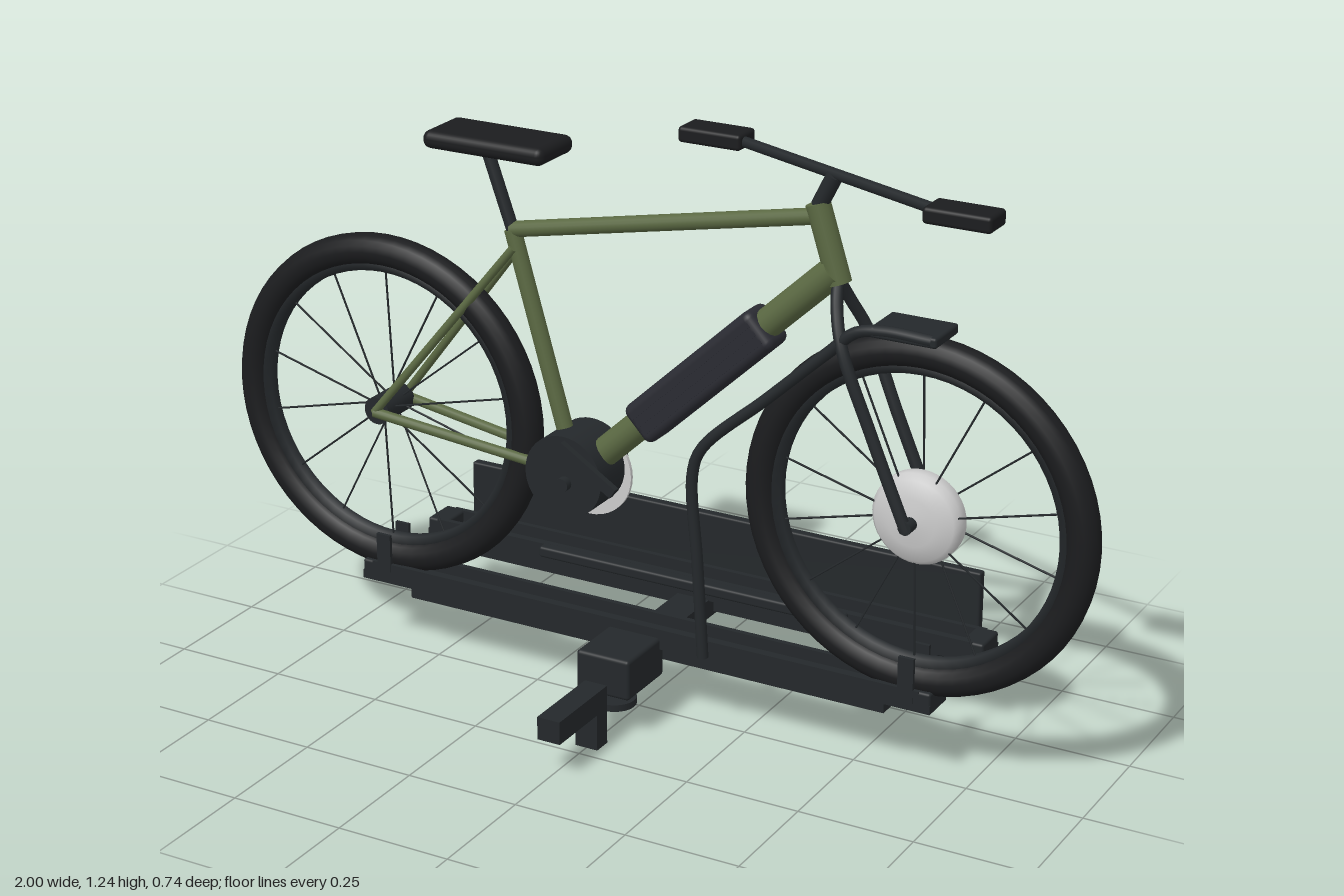
import * as THREE from 'three';
import { RoundedBoxGeometry } from 'three/addons/geometries/RoundedBoxGeometry.js';

const mat = (color) => new THREE.MeshStandardMaterial({ color });
const DARK = mat(0x24282b), BLACK = mat(0x1b1c1e), GREEN = mat(0x5a6842);
const SILVER = mat(0xcccccc), RED = mat(0x9c1a1c), PLATE = mat(0xb4b5a8), BATTERY = mat(0x2a2b32);
const ZB = -0.016; // middle plane of the bicycle
const HUB_Y = 0.558, HUB_X = 0.62;
const V = (x, y, z = ZB) => new THREE.Vector3(x, y, z);

function add(parent, name, geometry, material, x = 0, y = 0, z = 0) {
  const mesh = new THREE.Mesh(geometry, material);
  mesh.name = name;
  mesh.position.set(x, y, z);
  parent.add(mesh);
  return mesh;
}

// Box given by its limits on each axis
function box(parent, name, material, [x0, x1], [y0, y1], [z0, z1], round = 0) {
  const s = [x1 - x0, y1 - y0, z1 - z0];
  const geo = round ? new RoundedBoxGeometry(...s, 3, round) : new THREE.BoxGeometry(...s);
  return add(parent, name, geo, material, (x0 + x1) / 2, (y0 + y1) / 2, (z0 + z1) / 2);
}

// Straight round bar between two points
function bar(parent, name, material, a, b, r0, r1 = r0, sides = 16) {
  const mesh = add(parent, name, new THREE.CylinderGeometry(r1, r0, a.distanceTo(b), sides), material);
  mesh.position.copy(a).lerp(b, 0.5);
  mesh.quaternion.setFromUnitVectors(V(0, 1, 0), b.clone().sub(a).normalize());
  return mesh;
}

// Disc whose axis runs along z
function disc(parent, name, material, r, x, y, z0, z1) {
  return bar(parent, name, material, V(x, y, z0), V(x, y, z1), r, r, 40);
}

function bentTube(parent, name, material, points, r) {
  const curve = new THREE.CatmullRomCurve3(points, false, 'centripetal');
  return add(parent, name, new THREE.TubeGeometry(curve, 60, r, 12), material);
}

function wheel(name, x) {
  const g = new THREE.Group();
  g.name = name;
  g.position.set(x, HUB_Y, ZB);
  add(g, 'tyre', new THREE.TorusGeometry(0.345, 0.034, 16, 64), BLACK);
  // Rim ring turned from a closed cross-section
  const section = [[0.3, -0.012], [0.325, -0.02], [0.325, 0.02], [0.3, 0.012], [0.3, -0.012]];
  const rim = add(g, 'rim', new THREE.LatheGeometry(section.map((p) => new THREE.Vector2(...p)), 64), DARK);
  rim.material = DARK.clone();
  rim.material.side = THREE.DoubleSide;
  rim.rotation.x = Math.PI / 2;
  for (let i = 0; i < 14; i++) {
    const a = (i / 14) * Math.PI * 2 + Math.PI / 2;
    const c = Math.cos(a), s = Math.sin(a);
    bar(g, 'spoke', DARK, V(c * 0.02, s * 0.02, i % 2 ? 0.02 : -0.02), V(c * 0.305, s * 0.305, 0), 0.0022, 0.0022, 6);
  }
  return g;
}

function buildBicycle() {
  const bike = new THREE.Group();
  bike.name = 'bicycle';
  const rear = wheel('rearWheel', -HUB_X), front = wheel('frontWheel', HUB_X);
  bike.add(rear, front);
  disc(rear, 'rearHub', DARK, 0.03, 0, 0, -0.05, 0.05);
  // Domed hub motor
  const dome = [[0, -0.042], [0.05, -0.038], [0.085, -0.026], [0.096, -0.012], [0.096, 0.012], [0.085, 0.026], [0.05, 0.038], [0, 0.042]];
  const hub = add(front, 'frontHub', new THREE.LatheGeometry(dome.map((p) => new THREE.Vector2(...p)), 40), SILVER);
  hub.rotation.x = Math.PI / 2;
  disc(front, 'frontAxle', DARK, 0.014, 0, 0, -0.07, 0.07);

  // Frame
  const seatTop = V(-0.305, 1.0), headTop = V(0.385, 1.165), headLow = V(0.435, 1.01), crank = V(-0.16, 0.5);
  bar(bike, 'topTube', GREEN, seatTop, V(0.395, 1.14), 0.017);
  bar(bike, 'seatTube', GREEN, crank, seatTop, 0.018);
  bar(bike, 'downTube', GREEN, V(-0.13, 0.515), V(0.425, 1.035), 0.031);
  bar(bike, 'headTube', GREEN, headLow, headTop, 0.025);
  for (const s of [-1, 1]) {
    bar(bike, 'seatStay', GREEN, V(-HUB_X, HUB_Y, ZB + s * 0.058), V(-0.295, 0.965, ZB + s * 0.015), 0.009);
    bar(bike, 'chainStay', GREEN, V(-HUB_X, HUB_Y, ZB + s * 0.058), V(-0.19, 0.505, ZB + s * 0.03), 0.011);
    // Fork leg curves out from the crown
    bentTube(bike, 'forkLeg', DARK, [V(0.432, 1.02), V(0.445, 0.97, ZB + s * 0.03),
      V(0.472, 0.9, ZB + s * 0.06), V(0.54, 0.735, ZB + s * 0.062), V(HUB_X, 0.55, ZB + s * 0.062)], 0.0125);
  }

  // Battery on the down tube, with shallow ribs along its sides
  const battery = new THREE.Group();
  battery.name = 'battery';
  battery.position.set(0.142, 0.768, ZB);
  battery.rotation.z = Math.atan2(0.52, 0.555);
  bike.add(battery);
  box(battery, 'batteryCase', BATTERY, [-0.195, 0.195], [-0.046, 0.046], [-0.042, 0.042], 0.018);
  for (const y of [-0.02, 0, 0.02]) box(battery, 'batteryRib', BATTERY, [-0.18, 0.18], [y - 0.005, y + 0.005], [-0.045, 0.045]);

  // Drive unit, chainring and crank arms
  disc(bike, 'driveUnit', DARK, 0.09, -0.155, 0.505, -0.075, 0.045);
  disc(bike, 'chainring', SILVER, 0.1, -0.15, 0.488, -0.062, -0.054);
  disc(bike, 'crankAxle', DARK, 0.015, -0.15, 0.493, -0.095, 0.062);
  for (const s of [-1, 1]) {
    const arm = add(bike, 'crankArm', new THREE.BoxGeometry(0.15, 0.024, 0.014), DARK, -0.15 + s * 0.06, 0.493 + s * 0.047, ZB + s * 0.074);
    arm.rotation.z = -0.56;
  }

  // Saddle
  bar(bike, 'seatPost', DARK, seatTop, V(-0.366, 1.17), 0.0135);
  box(bike, 'saddle', BLACK, [-0.48, -0.195], [1.162, 1.2], [-0.083, 0.051], 0.017);

  // Handlebar turned to one side
  bar(bike, 'stem', DARK, V(0.388, 1.16), V(0.42, 1.225), 0.017);
  bar(bike, 'handlebar', DARK, V(0.12, 1.227, -0.142), V(0.72, 1.227, 0.106), 0.011);
  box(bike, 'leftGrip', BLACK, [0.67, 0.81], [1.211, 1.244], [0.064, 0.136], 0.008);
  box(bike, 'rightGrip', BLACK, [0.03, 0.17], [1.211, 1.244], [-0.17, -0.1], 0.008);
  return bike;
}

// Wheel tray: floor, two low walls and a beam beneath
function wheelTray(name, z) {
  const g = new THREE.Group();
  g.name = name;
  g.position.z = z;
  box(g, 'trayFloor', DARK, [-0.675, 0.675], [0.155, 0.174], [-0.04, 0.04]);
  for (const s of [-1, 1]) {
    box(g, 'trayWall', DARK, [-0.65, 0.65], [0.172, 0.2], [s * 0.034 - 0.006, s * 0.034 + 0.006]);
    box(g, 'trayEnd', DARK, [s * 0.65 - 0.025, s * 0.65 + 0.025], [0.16, 0.2], [-0.04, 0.04], 0.006);
  }
  box(g, 'trayBeam', DARK, [-0.565, 0.565], [0.123, 0.156], [-0.019, 0.019]);
  return g;
}

function buildCarrier() {
  const carrier = new THREE.Group();
  carrier.name = 'carrier';
  box(carrier, 'spine', DARK, [-0.038, 0.038], [0.115, 0.157], [-0.345, 0.02]);
  carrier.add(wheelTray('frontTray', ZB), wheelTray('rearTray', -0.276));
  box(carrier, 'foldedArm', DARK, [-0.37, 0.37], [0.18, 0.205], [-0.236, -0.208], 0.006);

  // Straps hugging both wheels
  for (const x of [-HUB_X, HUB_X])
    for (const s of [-1, 1])
      box(carrier, 'wheelStrap', DARK, [x - 0.017, x + 0.017], [0.17, 0.268], [ZB + s * 0.037 - 0.004, ZB + s * 0.037 + 0.004]);

  // Holding arm with a hook over the front tyre
  const z = 0.04;
  bentTube(carrier, 'holdingArm', DARK, [V(0.172, 0.17, z), V(0.158, 0.38, z), V(0.145, 0.57, z), V(0.165, 0.63, z),
    V(0.31, 0.765, z), V(0.44, 0.885, z), V(0.5, 0.938, z), V(0.56, 0.95, z), V(0.66, 0.948, z)], 0.012);
  box(carrier, 'tyreHook', DARK, [0.53, 0.672], [0.936, 0.958], [-0.055, 0.05], 0.006);

  // Coupling block with its knob
  box(carrier, 'couplingBlock', DARK, [-0.062, 0.062], [0.09, 0.18], [0.006, 0.155], 0.008);
  bar(carrier, 'knobShaft', SILVER, V(0, 0.06, 0.083), V(0, 0.095, 0.083), 0.017);
  bar(carrier, 'knob', DARK, V(0, 0.053, 0.103), V(0, 0.068, 0.103), 0.046, 0.046, 24);

  // Tow bar
  box(carrier, 'towBar', DARK, [-0.026, 0.026], [0.08, 0.13], [0.18, 0.37]);
  box(carrier, 'towBarFoot', DARK, [-0.026, 0.026], [0, 0.09], [0.18, 0.221]);

  // Rear board with lamps and blank plate
  box(carrier, 'lightBoard', DARK, [-0.62, 0.62], [0.13, 0.308], [-0.361, -0.338], 0.005);
  for (const s of [-1, 1]) box(carrier, 'tailLamp', RED, [s * 0.5 - 0.085, s * 0.5 + 0.085], [0.18, 0.268], [-0.368, -0.358]);
  box(carrier, 'numberPlate', PLATE, [-0.175, 0.175], [0.145, 0.295], [-0.366, -0.358]);
  for (const x of [-0.13, 0.13]) disc(carrier, 'plateScrew', DARK, 0.006, x, 0.28, -0.369, -0.36);
  return carrier;
}

export function createModel() {
  const model = new THREE.Group();
  model.name = 'bicycleOnCarrier';
  model.add(buildBicycle(), buildCarrier());
  return model;
}
